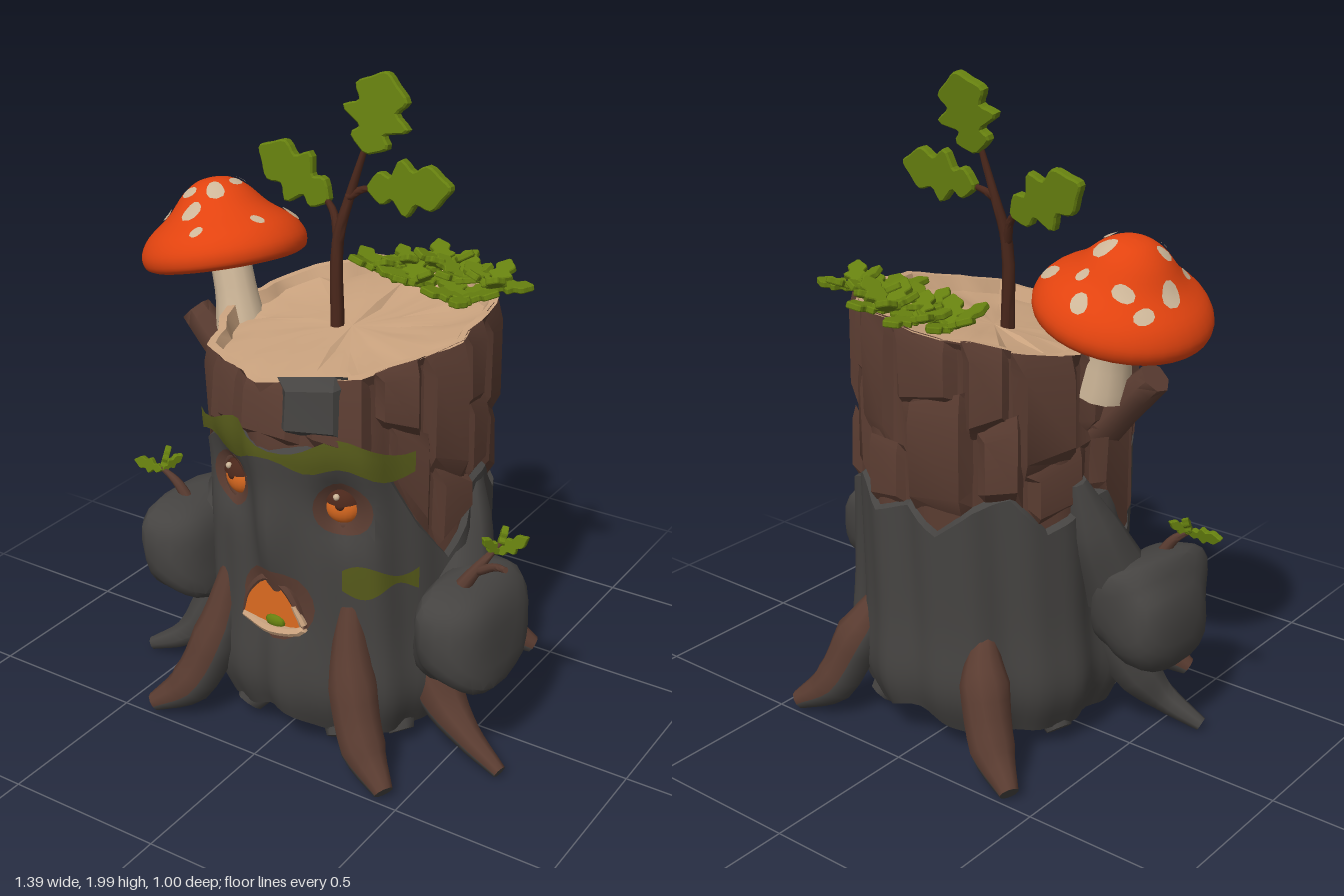
import * as THREE from 'three';
import { toCreasedNormals } from 'three/addons/utils/BufferGeometryUtils.js';
import { ParametricGeometry } from 'three/addons/geometries/ParametricGeometry.js';

const V = (x, y, z) => new THREE.Vector3(x, y, z);
const vec = (list) => list.map((p) => new THREE.Vector2(...p));
const mat = (name, color) => Object.assign(new THREE.MeshStandardMaterial({ color }), { name });
const rand = (n) => { const s = Math.sin(n * 127.1 + 3.7) * 43758.5453; return s - Math.floor(s); };
const bump = (x, w) => Math.exp(-((x / w) ** 2));
const lerp = THREE.MathUtils.lerp, TAU = Math.PI * 2, CX = 0.03, EYE = 0.5;

// Trunk rules: angle 0 faces the front, a quarter turn faces +x
const topY = (x, z) => 1.265 + 0.1 * (x - CX) - 0.15 * z;
const rimY = (a) => topY(CX + 0.43 * Math.sin(a), 0.43 * Math.cos(a));
const wrap = (a) => Math.atan2(Math.sin(a), Math.cos(a));
function trunk(a0, y, off = 0) {
  const a = wrap(a0);
  let r = 0.402 + off + 0.012 * Math.sin(9 * a + 2 * y) + 0.007 * Math.sin(17 * a + 3 * y) + 0.02 * bump(y - 0.2, 0.15) - 0.06 * bump(y, 0.15);
  r -= 0.055 * (bump(a - EYE, 0.17) + bump(a + EYE, 0.17)) * bump(y - 0.84, 0.09); // eye hollows
  r -= 0.025 * bump(a, 0.2) * bump(y - 0.5, 0.1); // mouth hollow
  r += 0.02 * bump(a, 0.15) * bump(y - 0.76, 0.13) + 0.022 * bump(a, 0.8) * bump(y - 1.02, 0.1); // nose, brow
  return V(CX + r * Math.sin(a), y, r * Math.cos(a));
}
// Upper edge of the charcoal bark, every 15 degrees
const EDGE = [1.03, 1.06, 1.02, 1, 0.8, 0.66, 0.85, 0.88, 0.75, 0.8, 0.86, 0.78,
  0.82, 0.75, 0.84, 0.88, 0.76, 0.8, 0.85, 0.62, 0.7, 0.96, 1.04, 1.05];
function darkEdge(a) {
  const t = (((a / TAU) % 1 + 1) % 1) * 24, i = Math.floor(t);
  return lerp(EDGE[i % 24], EDGE[(i + 1) % 24], t - i);
}
const darkFoot = (a) => 0.07 + 0.065 * (bump(wrap(a), 0.25) + bump(wrap(a + Math.PI), 0.25));

// Grid surface from a rule of (u, v)
const sheet = (fn, nu, nv, crease = 0.6) =>
  toCreasedNormals(new ParametricGeometry((u, v, t) => t.copy(fn(u, v)), nu, nv), crease);

// Tapered limb along a path, optionally with its upper side in a second colour
function limb(path, radii, sides = 8, split = false) {
  const curve = new THREE.CatmullRomCurve3(path.map((p) => V(...p))), n = path.length * 3, pos = [], up = [], rest = [];
  for (let i = 0; i <= n; i++) {
    const t = i / n, c = curve.getPoint(t), T = curve.getTangent(t);
    const side = T.clone().cross(Math.abs(T.y) > 0.995 ? V(0, 0, 1) : V(0, 1, 0)).normalize();
    const top = side.clone().cross(T), f = t * (radii.length - 1), k = Math.min(Math.floor(f), radii.length - 2);
    const r = lerp(radii[k], radii[k + 1], f - k);
    for (let j = 0; j < sides; j++) {
      const b = (j / sides) * TAU;
      pos.push(...c.clone().addScaledVector(side, r * Math.cos(b)).addScaledVector(top, r * Math.sin(b)));
    }
  }
  for (let i = 0; i < n; i++) for (let j = 0; j < sides; j++) {
    const a = i * sides + j, b = i * sides + (j + 1) % sides;
    (split && j < sides / 2 ? up : rest).push(a, a + sides, b, b, a + sides, b + sides);
  }
  for (let j = 1; j < sides - 1; j++) rest.push(0, j, j + 1, n * sides, n * sides + j + 1, n * sides + j);
  const g = new THREE.BufferGeometry().setAttribute('position', new THREE.Float32BufferAttribute(pos, 3));
  const out = toCreasedNormals(g.setIndex([...rest, ...up]), 0.9);
  if (split) { out.addGroup(0, rest.length, 0); out.addGroup(rest.length, up.length, 1); }
  return out;
}

// Lobed leaf of unit length along +y
function leafGeometry() {
  const half = [[0.03, 0], [0.2, 0.14], [0.13, 0.28], [0.36, 0.42], [0.2, 0.56], [0.28, 0.74], [0.13, 0.88], [0, 0.98]];
  const pts = vec([...half, ...half.slice(0, -1).reverse().map(([x, y]) => [-x, y])]);
  const shape = new THREE.Shape().moveTo(pts[0].x, pts[0].y).splineThru(pts.slice(1));
  return new THREE.ExtrudeGeometry(shape, { depth: 0.08, bevelSize: 0.02, bevelThickness: 0.02, bevelSegments: 1, curveSegments: 3 }).translate(0, 0, -0.04);
}

export function createModel() {
  const named = (o, name, parent) => { o.name = name; parent?.add(o); return o; };
  const root = named(new THREE.Group(), 'treeStump');
  const add = (name, geo, m, parent = root) => named(new THREE.Mesh(geo, m), name, parent);
  const charcoal = mat('charcoalBark', 0x454341), brown = mat('brownBark', 0x5a3c31), wood = mat('cutWood', 0xc9a27e);
  const red = mat('capRed', 0xe2430f), cream = mat('mushroomCream', 0xcdb698), green = mat('leafGreen', 0x66800f);
  const moss = mat('mossOlive', 0x565a1a), twigMat = mat('twigBrown', 0x4a271b), amber = mat('amberGlow', 0xdc6a20);

  // Charcoal lower trunk, its underside, and the brown upper trunk
  add('lowerTrunk', sheet((u, v) => trunk(u * TAU, lerp(darkFoot(u * TAU), darkEdge(u * TAU), v), v === 1 ? -0.02 : 0.018), 96, 26), charcoal);
  add('underside', sheet((u, v) => {
    const p = trunk(u * TAU, darkFoot(u * TAU), 0.018);
    return V(lerp(CX, p.x, v), lerp(0.2, p.y, v), p.z * v);
  }, 96, 3), charcoal);
  add('upperTrunk', sheet((u, v) => trunk(u * TAU, lerp(darkEdge(u * TAU) - 0.08, rimY(u * TAU) + 0.01, v)), 72, 4), brown);
  // Overlapping, uneven bark plates
  const plates = named(new THREE.Group(), 'barkPlates', root), stops = [0, 0.18, 0.82, 1], N = 15;
  const plate = (a0, a1, lo, hi, d, m) => add('barkPlate', sheet((u, v) => {
    const i = Math.round(u * 3), j = Math.round(v * 3), a = lerp(a0, a1, stops[i]);
    return trunk(a, lerp(lo(a), hi(a), stops[j]), i % 3 && j % 3 ? d : j === 3 ? 0.012 : -0.006);
  }, 3, 3, 0.5), m, plates);
  const seam = (i) => (i - 0.5 + 0.7 * (rand(i % N) - 0.5)) / N * TAU;
  for (let i = 0; i < N; i++) {
    const a0 = seam(i), a1 = seam(i + 1), am = (a0 + a1) / 2, front = Math.abs(wrap(am)) < 0.85;
    const mid = (a) => front ? darkEdge(a) - 0.02 : lerp(darkEdge(am), rimY(am), 0.3 + 0.35 * rand(i + 40)) + 0.4 * (rand(i + 3) - 0.5) * (a - am);
    plate(a0, a1, mid, (a) => rimY(a) + 0.008 + 0.02 * rand(i), 0.018 + 0.014 * rand(i + 9), brown);
    if (!front) plate(a0 + 0.1, a1 + 0.1, (a) => darkEdge(a) - 0.03, (a) => mid(a) + 0.03, 0.02 + 0.014 * rand(i + 77), brown);
  }
  plate(0.04, 0.54, () => 1.06, (a) => rimY(a) + 0.03, 0.042, charcoal);
  // Cut wood top with a raised rim
  const rings = [0, 0.35, 0.7, 0.9, 0.94, 1];
  add('cutTop', sheet((u, v) => {
    const k = Math.round((1 - v) * 5), e = trunk(u * TAU, 1.2, 0.012), i = Math.floor((u % 1) * N + 0.5) % N;
    const x = CX + (e.x - CX) * rings[k], z = e.z * rings[k];
    return V(x, topY(x, z) + (k > 3 ? 0.01 + 0.016 * rand(i) : -0.02 + (k ? 0.024 * (rand(i * 7 + k) - 0.5) : 0)), z);
  }, 60, 5, 0.5), wood);
  // Moss on the brow and cheek
  moss.side = THREE.DoubleSide;
  const mossPatch = (a0, a1, lo, hi) => add('moss', sheet((u, v) => trunk(lerp(a0, a1, u), lerp(lo(u), hi(u), v), 0.028), 24, 4), moss);
  mossPatch(-0.8, 1.0, (u) => 0.955 + 0.02 * Math.sin(u * 19) + 0.03 * bump(u - 0.5, 0.2), (u) => 1.045 + 0.03 * Math.sin(u * 14 + 4));
  mossPatch(0.5, 1.05, (u) => 0.585 - 0.02 * Math.sin(u * 7), (u) => 0.65 + 0.025 * Math.sin(u * 6));

  for (const sx of [-1, 1]) {
    // Roots: brown-backed at the corners, dark at the sides and below
    for (const sz of [-1, 1]) {
      const path = [[0.21, sz > 0 ? 0.52 : 0.4, 0.325], [0.25, 0.28, 0.37], [0.32, 0.11, 0.42], [0.425, 0.03, 0.475]];
      add('cornerRoot', limb(path.map(([x, y, z]) => [0.02 + sx * x, y, sz * z]), [0.035, 0.075, 0.07, 0.03], 10, true), [charcoal, brown]);
    }
    add('sideRoot', limb([[sx * 0.35, 0.34, 0.08], [sx * 0.44, 0.17, 0.13], [0.02 + sx * 0.53, 0.09, 0.17], [0.025 + sx * 0.655, 0.025, 0.2]],
      [0.1, 0.075, 0.045, 0.022], 8, sx > 0), sx > 0 ? [charcoal, brown] : charcoal);
    for (const a of [0.48, 1.0, 1.9, 2.5])
      add('footRoot', limb([[0.2, 0.24], [0.29, 0.14], [0.37, 0.045]].map(([r, y]) => [CX + sx * r * Math.sin(a), y, r * Math.cos(a)]), [0.11, 0.085, 0.042]), charcoal);
    // Boulder-like arm and its shoulder
    add('shoulder', limb([[0.37, 0.87, -0.1], [0.385, 0.7, -0.04], [0.42, 0.5, 0.05]].map(([x, y, z]) => [CX * 0.5 + sx * x, y, z]), [0.03, 0.09, 0.12]), charcoal);
    const g = new THREE.IcosahedronGeometry(1, 4), p = g.attributes.position, sq = (c) => Math.sign(c) * Math.abs(c) ** 0.72;
    for (let i = 0; i < p.count; i++) {
      const x = p.getX(i), y = p.getY(i), z = p.getZ(i), w = 0.93 + 0.06 * Math.sin(4 * x + 3 * y + 2 * z);
      p.setXYZ(i, sq(x) * w * (1 - 0.12 * y), sq(y) * w + 0.12 * z * z, sq(z) * w * (1 + 0.08 * y));
    }
    const arm = add('arm', toCreasedNormals(g, 0.6), charcoal);
    arm.scale.set(0.145, 0.19, 0.215);
    arm.position.set(sx > 0 ? 0.515 : -0.49, 0.43, 0.115);
  }

  // Sprout on top
  const leafGeo = leafGeometry();
  const leaf = (name, p, len, wide, rx, ry, rz, order = 'XYZ') => {
    const o = add(name, leafGeo, green);
    o.position.set(...p);
    o.scale.set(len * wide, len, len < 0.2 ? 0.16 : 0.28);
    o.rotation.set(rx, ry, rz, order);
  };
  add('sproutStem', limb([[-0.015, 1.22, 0.01], [-0.02, 1.5, 0], [0.01, 1.64, -0.02], [0.06, 1.81, -0.035]], [0.022, 0.018, 0.014, 0.008]), twigMat);
  add('sproutBranch', limb([[-0.02, 1.5, 0], [-0.05, 1.58, -0.02], [-0.11, 1.63, -0.035]], [0.015, 0.012, 0.006]), twigMat);
  add('sproutBranch', limb([[0.005, 1.63, -0.015], [0.04, 1.655, -0.03], [0.11, 1.67, -0.035]], [0.014, 0.011, 0.006]), twigMat);
  leaf('topLeaf', [0.06, 1.77, -0.035], 0.235, 1.25, -0.14, 0, -0.2);
  leaf('sideLeaf', [-0.075, 1.605, -0.035], 0.275, 0.85, -0.08, 0, 1.1);
  leaf('sideLeaf', [0.07, 1.665, -0.035], 0.27, 0.8, -0.08, 0, -1.42);
  // Leaf clusters at the back of the top
  [[-0.04, -0.28], [0.04, -0.33], [0.15, -0.34], [0.11, -0.22], [0.25, -0.27], [0.36, -0.25], [0.31, -0.16]].forEach(([x, z], c) => {
    for (let i = 0; i < 5; i++)
      leaf('groundLeaf', [x, topY(x, z) + 0.02, z], 0.1 + 0.03 * rand(c * 5 + i), 0.9, -1.5 + 0.55 * rand(c + i * 9), c + i * 1.256, 0, 'YXZ');
  });
  // Twigs on the arms
  add('armTwig', limb([[-0.48, 0.56, 0.15], [-0.53, 0.64, 0.16], [-0.59, 0.685, 0.17]], [0.022, 0.015, 0.006]), brown);
  add('armTwig', limb([[0.49, 0.55, 0.17], [0.55, 0.65, 0.15], [0.61, 0.74, 0.12]], [0.028, 0.018, 0.006]), brown);
  add('armTwig', limb([[0.56, 0.65, 0.15], [0.62, 0.69, 0.17], [0.67, 0.71, 0.2]], [0.014, 0.012, 0.009]), brown);
  for (const [turn, p] of [[1, [-0.58, 0.675, 0.17]], [-0.6, [0.605, 0.71, 0.12]]])
    [[0.2, 0.08], [1.5, 0.11], [-1.1, 0.08]].forEach(([r, len], i) => leaf('twigLeaf', p, len, 0.6, -0.5 + i * 0.3, i - 1, r * turn));

  // Mushroom on a broken branch
  add('brokenBranch', limb([[-0.32, 0.98, 0.02], [-0.42, 1.08, 0.03], [-0.53, 1.19, 0.03]], [0.08, 0.06, 0.05], 7), brown);
  add('mushroomStem', limb([[-0.37, 1.12, 0], [-0.4, 1.26, -0.01], [-0.45, 1.43, -0.03]], [0.085, 0.065, 0.06], 12), cream);
  const cap = named(new THREE.Group(), 'mushroomCap', root);
  cap.position.set(-0.45, 1.385, -0.025);
  cap.rotation.set(-0.1, 0, 0.24);
  const profile = new THREE.SplineCurve(vec([[0.225, -0.035], [0.25, -0.02], [0.255, 0.02], [0.225, 0.07], [0.155, 0.125], [0.1, 0.185], [0.05, 0.217], [0, 0.225]]));
  add('capTop', new THREE.LatheGeometry(profile.getPoints(28), 36), red, cap);
  add('capGills', new THREE.LatheGeometry(vec([[0, 0.05], [0.1, 0.045], [0.19, 0.01], [0.225, -0.035]]), 36), cream, cap);
  // Spots follow the cap profile
  for (let i = 0; i < 15; i++) {
    const u0 = [0.35, 0.52, 0.74][i % 3] + 0.06 * rand(i), size = 0.019 + 0.016 * rand(i + 5), r0 = profile.getPointAt(u0).x;
    add('capSpot', sheet((s, t) => {
      const b = s * TAU, d = t * size * (1 + 0.18 * Math.sin(2 * b + i)), a = i * 2.4 + 0.3 + d * Math.sin(b) / r0;
      const p = profile.getPointAt(Math.min(u0 + d * Math.cos(b) / profile.getLength(), 1));
      return V(p.x * 1.018 * Math.sin(a), p.y * 1.018 + 0.002, p.x * 1.018 * Math.cos(a));
    }, 12, 2), cream, cap);
  }

  // Eyes in brown hollows
  const hollow = (name, a, y, w, h) => add(name, sheet((u, v) =>
    trunk(a + w * (1 - v) * Math.cos(u * TAU), y + h * (1 - v) * Math.sin(u * TAU), 0.023), 20, 5), brown);
  for (const s of [-1, 1]) {
    hollow('eyeHollow', s * EYE, 0.84, 0.21, 0.085);
    const eye = named(new THREE.Group(), 'eye', root);
    eye.position.copy(trunk(s * EYE, 0.84, 0.028));
    eye.rotation.y = s * 0.3;
    add('eyeSocket', new THREE.TorusGeometry(0.06, 0.016, 8, 20), brown, eye).scale.y = 1.1;
    add('eyeball', new THREE.SphereGeometry(0.055, 20, 14), amber, eye).scale.z = 0.7;
    const lid = add('upperLid', new THREE.SphereGeometry(0.059, 20, 8, 0, TAU, 0, 1.15), twigMat, eye);
    lid.rotation.x = 0.2;
    lid.scale.z = 0.75;
    add('pupil', new THREE.SphereGeometry(0.018, 12, 8), twigMat, eye).position.set(0, 0.012, 0.026);
    add('eyeGlint', new THREE.SphereGeometry(0.01, 8, 6), cream, eye).position.set(-0.01, 0.04, 0.036);
  }
  // Mouth
  hollow('mouthHollow', 0, 0.51, 0.31, 0.115);
  const outline = [[-0.08, 0.44], [-0.06, 0.52], [0, 0.585], [0.06, 0.57], [0.1, 0.52], [0.13, 0.45], [0.03, 0.425]];
  const at = (i, z) => [...outline[i], z];
  add('mouthGlow', new THREE.ExtrudeGeometry(new THREE.Shape(vec(outline)), { depth: 0.04, bevelEnabled: false }), amber).position.z = 0.385;
  add('upperLip', limb([0, 1, 2, 3, 4, 5].map((i) => at(i, 0.415)), [0.01, 0.014, 0.016, 0.01], 6), brown);
  add('lowerLip', limb([at(0, 0.42), at(6, 0.435), at(5, 0.42), at(4, 0.425)], [0.012, 0.016, 0.014, 0.008], 6), wood);
  const mouthMoss = add('mouthMoss', new THREE.SphereGeometry(0.035, 10, 6), green);
  mouthMoss.scale.set(1, 0.6, 0.4);
  mouthMoss.position.set(0.035, 0.45, 0.425);
  return root;
}
